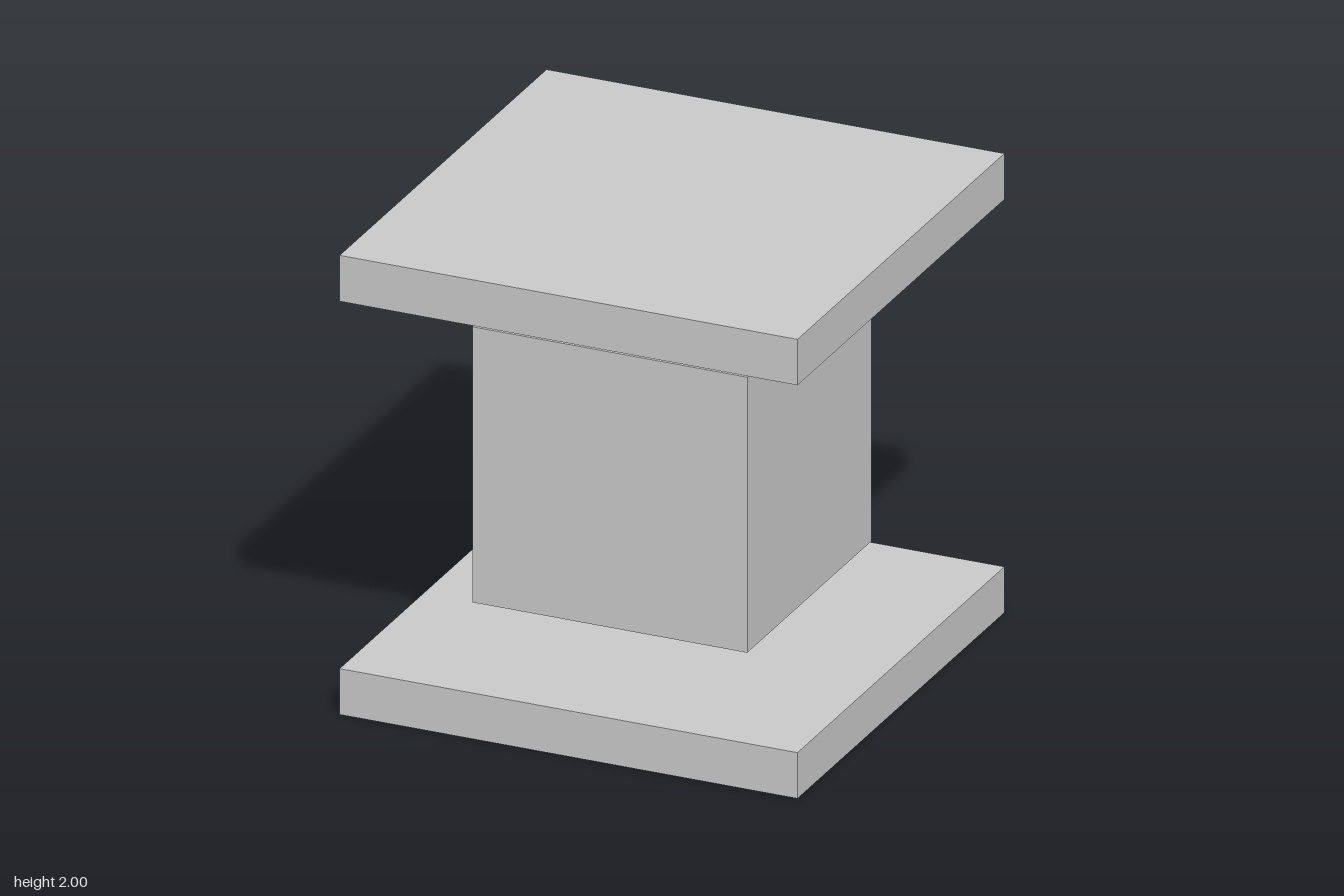
import * as THREE from 'three';

export function createModel() {
  const group = new THREE.Group();
  group.name = 'blockBetweenPlates';
  const material = new THREE.MeshStandardMaterial({ color: 0xcccccc, flatShading: true });

  // Square block of a given width and height, standing at a given level
  function addBlock(name, width, height, bottom) {
    const mesh = new THREE.Mesh(new THREE.BoxGeometry(width, height, width), material);
    mesh.name = name;
    mesh.position.y = bottom + height / 2;
    group.add(mesh);
  }

  // Two plates with a core floating between them, a gap of 0.2 on each side
  addBlock('bottomPlate', 2, 0.2, 0);
  addBlock('core', 1.2, 1.2, 0.4);
  addBlock('topPlate', 2, 0.2, 1.8);

  return group;
}
